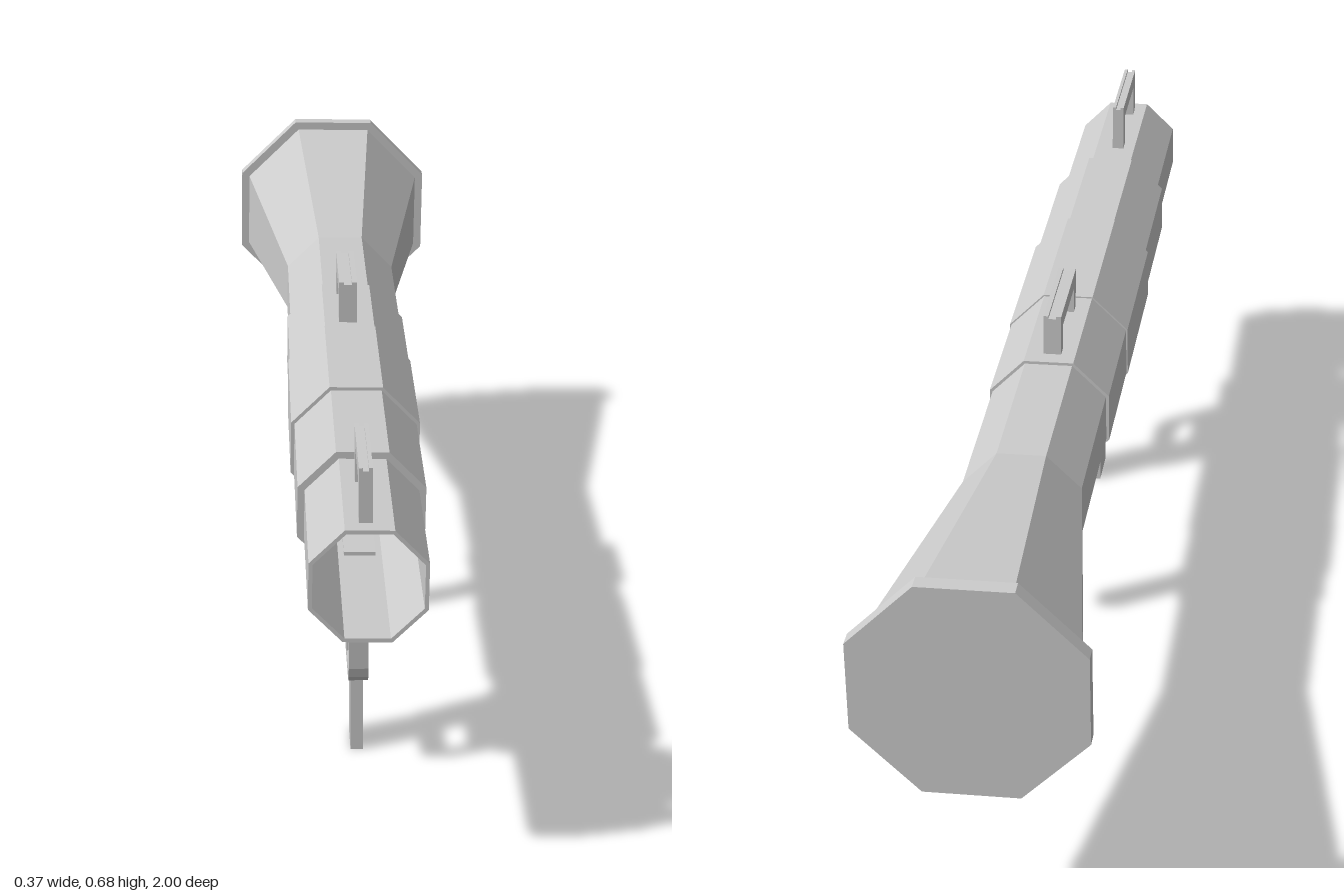
import * as THREE from 'three';

const material = new THREE.MeshStandardMaterial({ color: 0xcccccc, flatShading: true, side: THREE.DoubleSide });

function addMesh(parent, name, geometry) {
  const mesh = new THREE.Mesh(geometry, material);
  mesh.name = name;
  parent.add(mesh);
  return mesh;
}

// Box given by its minimum and maximum on each axis
function addBox(parent, name, [x0, x1], [y0, y1], [z0, z1]) {
  const geometry = new THREE.BoxGeometry(x1 - x0, y1 - y0, z1 - z0);
  geometry.translate((x0 + x1) / 2, (y0 + y1) / 2, (z0 + z1) / 2);
  return addMesh(parent, name, geometry);
}

// Side profile drawn in (z, y), extruded across x
function extrudeSide(shape, x0, x1) {
  const geometry = new THREE.ExtrudeGeometry(shape, { depth: x1 - x0, bevelEnabled: false, curveSegments: 3 });
  geometry.rotateY(-Math.PI / 2);
  geometry.translate(x1, 0, 0);
  return geometry;
}

// Bridge-shaped sight: two posts, a top bar and a shallow groove along the top
function addSight(parent, name, [x0, x1], [y0, y1], [z0, z1]) {
  const sight = new THREE.Group();
  sight.name = name;
  const rail = (x1 - x0) * 0.28;
  const post = 0.025;
  const grooveY = y1 - 0.005;
  addBox(sight, 'sightBar', [x0, x1], [y1 - 0.027, grooveY], [z0, z1]);
  for (const x of [x0, x1 - rail]) addBox(sight, 'sightRail', [x, x + rail], [grooveY, y1], [z0, z1]);
  for (const z of [z0, z1 - post]) addBox(sight, 'sightPost', [x0, x1], [y0, y1 - 0.027], [z, z + post]);
  parent.add(sight);
}

export function createModel() {
  const model = new THREE.Group();
  model.name = 'launcher';

  // Eight-sided tube: [flat-to-centre radius, z], closed rear to hollow muzzle
  const profile = [
    [0, -1], [0.186, -1], [0.186, -0.972], [0.171, -0.972],
    [0.099, -0.45], [0.099, -0.14], [0.104, -0.14], [0.104, 0.105],
    [0.1065, 0.105], [0.1065, 0.42], [0.101, 0.42], [0.101, 0.705],
    [0.09, 0.705], [0.09, 1], [0.084, 1], [0.084, 0.4], [0, 0.4],
  ].map(([r, z]) => new THREE.Vector2(r / Math.cos(Math.PI / 8), z));
  const tube = new THREE.LatheGeometry(profile, 8);
  tube.rotateX(Math.PI / 2);
  tube.rotateZ(Math.PI / 8 - 0.018);
  tube.translate(-0.001, 0.488, 0);
  addMesh(model, 'tube', tube);

  // Sights on top
  addSight(model, 'frontSight', [-0.015, 0.006], [0.56, 0.665], [0.78, 0.97]);
  addSight(model, 'rearSight', [-0.017, 0.014], [0.57, 0.665], [-0.11, 0.075]);

  // Trigger grip with finger opening
  const grip = new THREE.Group();
  grip.name = 'triggerGrip';
  addBox(grip, 'gripMount', [-0.028, 0.022], [0.335, 0.41], [0.446, 0.68]);
  const body = new THREE.Shape();
  body.moveTo(0.655, 0.34);
  body.lineTo(0.645, 0.19);
  body.quadraticCurveTo(0.643, 0.16, 0.61, 0.157);
  body.lineTo(0.47, 0.157);
  body.lineTo(0.452, 0.34);
  body.closePath();
  const opening = new THREE.Path();
  opening.moveTo(0.628, 0.262);
  opening.lineTo(0.537, 0.262);
  opening.lineTo(0.537, 0.174);
  opening.lineTo(0.605, 0.174);
  opening.quadraticCurveTo(0.626, 0.175, 0.628, 0.2);
  opening.closePath();
  body.holes.push(opening);
  addMesh(grip, 'gripBody', extrudeSide(body, -0.019, 0.013));
  addBox(grip, 'gripHandle', [-0.013, 0.008], [0, 0.17], [0.473, 0.553]);
  model.add(grip);

  // Rear support grip with collar
  const support = new THREE.Group();
  support.name = 'supportGrip';
  addBox(support, 'supportCollar', [-0.03, 0.024], [0.313, 0.41], [-0.041, 0.011]);
  addBox(support, 'supportHandle', [-0.025, 0.02], [0.118, 0.32], [-0.036, 0.006]);
  model.add(support);

  return model;
}
